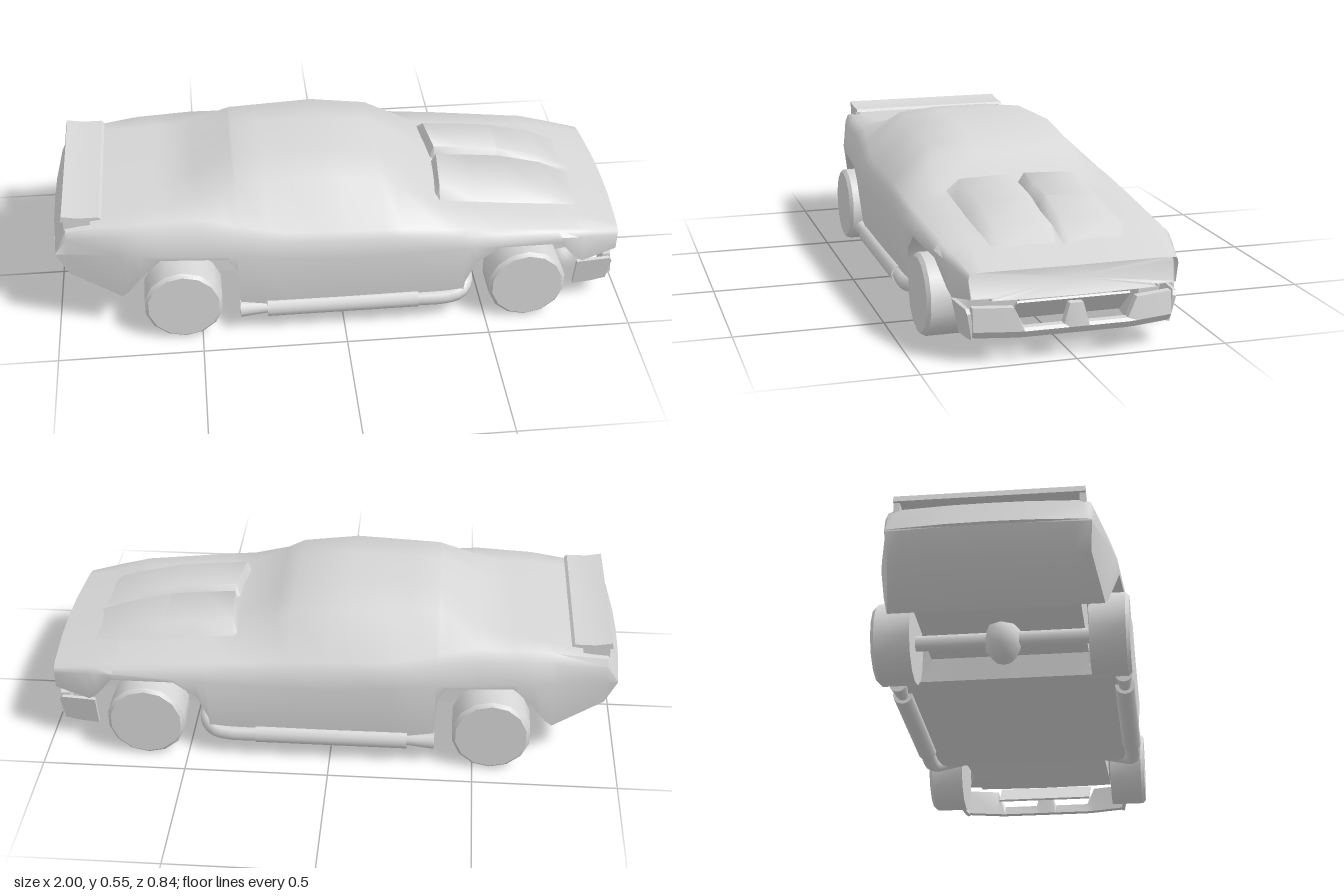
import * as THREE from 'three';
import { toCreasedNormals } from 'three/addons/utils/BufferGeometryUtils.js';

const grey = new THREE.MeshStandardMaterial({ color: 0xd6d6d6, side: THREE.DoubleSide });
grey.name = 'body grey';

// Body measures as [x, value] keys along the length of the car
const keys = {
  topY: [[-1, .33], [-.96, .42], [-.56, .458], [-.36, .545], [-.06, .55], [.14, .525], [.34, .407], [.75, .36], [.99, .3]],
  edgeZ: [[-1, .31], [-.96, .29], [-.56, .25], [-.36, .235], [-.06, .25], [.14, .25], [.34, .27], [.99, .3]],
  edgeY: [[-1, .329], [-.96, .419], [-.56, .456], [-.36, .53], [-.06, .536], [.14, .51], [.34, .397], [.75, .352], [.99, .297]],
  beltZ: [[-1, .32], [-.96, .32], [-.7, .34], [-.5, .345], [-.2, .385], [.43, .38], [.76, .365], [.99, .335]],
  beltY: [[-1, .328], [-.96, .412], [-.7, .442], [-.5, .45], [-.2, .4], [.2, .385], [.75, .338], [.99, .292]],
  midZ: [[-1, .325], [-.96, .33], [-.7, .388], [-.26, .418], [.43, .415], [.76, .395], [.99, .342]],
  midY: [[-1, .325], [-.7, .34], [-.36, .33], [0, .3], [.43, .31], [.76, .315], [.99, .275]],
  sillY: [[-1, .32], [-.96, .235], [-.77, .145], [-.745, .17], [-.7, .24], [-.63, .32], [-.4, .32], [-.37, .27], [-.36, .09],
    [.42, .09], [.425, .15], [.46, .24], [.54, .3], [.76, .29], [.82, .21], [.85, .185], [.99, .212]],
  floorY: [[-1, .32], [-.96, .235], [-.77, .145], [-.745, .17], [-.37, .17], [-.36, .09], [.42, .09], [.43, .12], [.82, .18], [.99, .204]],
};

function at(name, x) {
  const k = keys[name];
  let i = 1;
  while (i < k.length - 1 && x > k[i][0]) i++;
  const t = (x - k[i - 1][0]) / (k[i][0] - k[i - 1][0]);
  return THREE.MathUtils.lerp(k[i - 1][1], k[i][1], THREE.MathUtils.clamp(t, 0, 1));
}

// Skins rows of [x, y, z] points; closed rows also get end caps
function loft(rows, closed, crease) {
  const n = rows[0].length, out = [];
  const tri = (...p) => p.forEach(v => out.push(...v));
  for (let i = 0; i < rows.length - 1; i++) {
    for (let j = 0; j < (closed ? n : n - 1); j++) {
      const k = (j + 1) % n, a = rows[i], b = rows[i + 1];
      tri(a[j], b[j], a[k]);
      tri(b[j], b[k], a[k]);
    }
  }
  if (closed) {
    [rows[0], rows[rows.length - 1]].forEach((r, end) => {
      const c = [0, 1, 2].map(d => r.reduce((s, p) => s + p[d], 0) / n);
      for (let j = 0; j < n; j++) {
        const k = (j + 1) % n;
        end ? tri(c, r[k], r[j]) : tri(c, r[j], r[k]);
      }
    });
  }
  const g = new THREE.BufferGeometry();
  g.setAttribute('position', new THREE.Float32BufferAttribute(out, 3));
  return toCreasedNormals(g, crease);
}

// One closed body section, mirrored about z = 0
function section(x) {
  const v = {};
  for (const name in keys) v[name] = at(name, x);
  const sillZ = v.midZ - (v.midY - v.sillY) * .12;
  const drop = v.beltY - v.midY;
  const shoulder = [v.beltZ + (v.midZ - v.beltZ) * .35 + drop * .08, v.beltY - drop * .3];
  const half = [[.2, v.floorY], [.27, v.floorY], [.27, v.sillY], [sillZ, v.sillY], [v.midZ, v.midY], shoulder,
    [v.beltZ, v.beltY], [v.edgeZ, v.edgeY], [v.edgeZ * .42, v.topY]];
  const ring = [[0, v.floorY], ...half, [0, v.topY], ...half.slice().reverse().map(([z, y]) => [-z, y])];
  // nose and tail curve back slightly at the corners
  const bow = Math.abs(x) > .9 ? Math.sign(x) * .016 : 0;
  return ring.map(([z, y]) => [x - bow * (z / .33) ** 2, y, z]);
}

function bodyGeometry() {
  const xs = [...new Set(Object.values(keys).flat().map(k => k[0]))].sort((a, b) => a - b);
  const rows = xs.map(section);
  // nose panel leaning back below the bonnet lip
  const lip = rows[rows.length - 1];
  rows.push(lip.map(([x, y, z]) => [x - .004 - (y - .2) * .3, .25 + (y - .25) * .97, z * .985]));
  return loft(rows, true, .95);
}

// Twin bonnet bulges with a groove between them and a raised rear edge
function scoopGeometry() {
  const half = [[.245, .12, -.012], [.2, .85, -.004], [.025, 1, 0], [0, .1, 0]];
  const across = [...half, ...half.slice(0, 3).reverse().map(([z, f, o]) => [-z, f, o])];
  const along = [[.37, .042], [.48, .046], [.6, .047], [.75, .026], [.87, -.004]];
  const rows = along.map(([x, h]) => across.map(([z, f, o]) =>
    [x - (x < .4 ? Math.abs(z) * .08 : 0), at('topY', x) + h * f + o, z]));
  // rear face dropping to the cowl
  rows.unshift(rows[0].map(([x, , z]) => [x - .02, .39, z]));
  return loft(rows, false, 1.1);
}

// Bumper bar swept across the nose, tall at the ends and at the centre post
function bumperGeometry() {
  const half = [[.022, .18], [.04, .115], [.17, .115], [.2, .18], [.325, .18]];
  const stations = [...half.slice().reverse().map(([z, top]) => [-z, top]), ...half];
  const rows = stations.map(([z, top]) => {
    const x = 1 - Math.max(0, Math.abs(z) - .18) * .22;
    return [[x - .035, top], [x - .008, top], [x, .105], [x - .02, .08], [x - .045, .08]].map(([px, y]) => [px, y, z]);
  });
  return loft(rows, true, .45);
}

function extrude(points, depth) {
  const shape = new THREE.Shape(points.map(p => new THREE.Vector2(...p)));
  return new THREE.ExtrudeGeometry(shape, { depth, bevelEnabled: false });
}

export function createModel() {
  const car = new THREE.Group();
  car.name = 'car';
  const add = (name, geometry, x = 0, y = 0, z = 0) => {
    const mesh = new THREE.Mesh(geometry, grey);
    mesh.name = name;
    mesh.position.set(x, y, z);
    car.add(mesh);
    return mesh;
  };
  const alongX = (r0, r1, length, sides = 12) =>
    new THREE.CylinderGeometry(r1, r0, length, sides).rotateZ(-Math.PI / 2);

  add('body', bodyGeometry());
  add('bonnetScoop', scoopGeometry());

  // Wheels with a softly chamfered outer edge
  for (const x of [-.56, .643]) {
    for (const s of [-1, 1]) {
      const profile = [[0, -.065], [.137, -.065], [.137, .053], [.125, .065], [0, .065]];
      const g = new THREE.LatheGeometry(profile.map(p => new THREE.Vector2(...p)), 14);
      g.rotateX(s * Math.PI / 2);
      add('wheel', toCreasedNormals(g, .7), x, .137, s * .355);
    }
  }

  // Rear axle and differential
  add('rearAxle', new THREE.CylinderGeometry(.027, .027, .6, 8).rotateX(Math.PI / 2), -.56, .137, 0);
  add('differential', new THREE.SphereGeometry(.08, 8, 6).scale(1, 1, .8), -.56, .134, 0);

  // Side exhausts: muffler, flared tip and front pipe turning up and inward
  for (const s of [-1, 1]) {
    const z = s * .385;
    add('muffler', alongX(.034, .034, .53), -.005, .087, z);
    add('exhaustTip', alongX(.03, .02, .1), -.315, .086, z);
    const path = new THREE.CatmullRomCurve3([[.24, .086, .385], [.36, .087, .385], [.41, .096, .375], [.435, .113, .34], [.435, .125, .28]]
      .map(([px, py, pz]) => new THREE.Vector3(px, py, pz * s)));
    add('exhaustPipe', new THREE.TubeGeometry(path, 14, .029, 8));
  }

  // Front bumper, with ends running back along the body and leaning outward
  add('frontBumper', bumperGeometry());
  for (const s of [-1, 1]) {
    const g = extrude([[-.13, 0], [-.06, .003], [-.01, .012], [0, .1], [-.01, .115], [-.13, .115]], .012);
    g.translate(0, 0, -.006).rotateX(s * .2).rotateY(s * .09);
    add('bumperSide', g, .96, .065, s * .317);
  }

  // Grille plate sloping back beneath the nose
  const grille = add('grille', new THREE.BoxGeometry(.008, .12, .37), .92, .15, 0);
  grille.rotation.z = -.85;

  // Tail spoiler blade on short stands
  const blade = extrude([[-.96, .445], [-.87, .44], [-.82, .447], [-.83, .456], [-.9, .456], [-.955, .466]], .61);
  add('spoiler', toCreasedNormals(blade, .5), 0, 0, -.305);
  for (const z of [-.295, .295]) {
    add('spoilerStand', new THREE.BoxGeometry(.09, .04, .02), -.905, .43, z);
  }
  return car;
}
